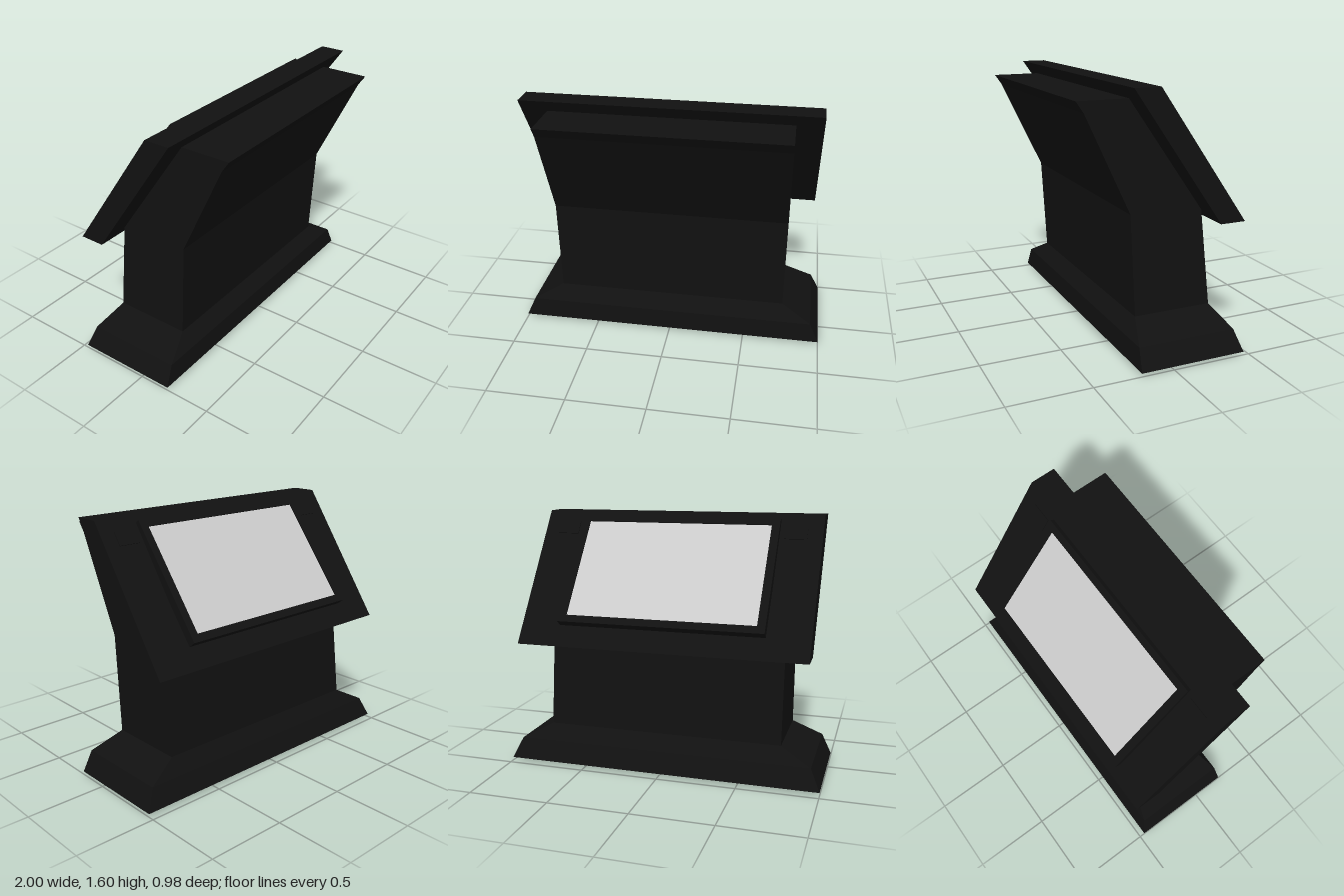
import * as THREE from 'three';
import { ConvexGeometry } from 'three/addons/geometries/ConvexGeometry.js';

const dark = new THREE.MeshStandardMaterial({ color: 0x111111, flatShading: true });
const grey = new THREE.MeshStandardMaterial({ color: 0xcccccc });

function part(name, geometry, parent, material = dark) {
  const mesh = new THREE.Mesh(geometry, material);
  mesh.name = name;
  parent.add(mesh);
  return mesh;
}

// Extrudes a side profile of [z, y] points across the width, centred on x = 0
function sideProfile(points, width) {
  const shape = new THREE.Shape(points.map(([z, y]) => new THREE.Vector2(z, y)));
  return new THREE.ExtrudeGeometry(shape, { depth: width, bevelEnabled: false })
    .translate(0, 0, -width / 2)
    .rotateY(-Math.PI / 2);
}

// Group lying on a sloped rear face: local y runs up the slope, local z points outward
function slopedGroup(name, top, bottom, parent) {
  const up = new THREE.Vector3(0, top[1] - bottom[1], top[0] - bottom[0]).normalize();
  const right = new THREE.Vector3(-1, 0, 0);
  const out = new THREE.Vector3().crossVectors(right, up);
  const group = new THREE.Group();
  group.name = name;
  group.quaternion.setFromRotationMatrix(new THREE.Matrix4().makeBasis(right, up, out));
  group.position.set(0, (top[1] + bottom[1]) / 2, (top[0] + bottom[0]) / 2);
  parent.add(group);
  return group;
}

function rectangle(target, halfW, halfH) {
  return target.moveTo(-halfW, -halfH).lineTo(halfW, -halfH)
    .lineTo(halfW, halfH).lineTo(-halfW, halfH).closePath();
}

export function createModel() {
  const model = new THREE.Group();
  model.name = 'kiosk';

  // Flared plinth: rectangular rings of [y, half width, front z, back z]
  const corners = [];
  for (const [y, w, front, back] of [
    [0, 0.75, 0.12, -0.38],
    [0.02, 1, 0.205, -0.465],
    [0.15, 0.94, 0.195, -0.425],
    [0.25, 0.75, 0.13, -0.365],
  ]) {
    for (const x of [-w, w]) {
      for (const z of [front, back]) corners.push(new THREE.Vector3(x, y, z));
    }
  }
  part('base', new ConvexGeometry(corners), model);

  // Pedestal that leans forward into an overhanging hood
  part('pedestal', sideProfile([
    [-0.365, 0.25], [0.13, 0.25], [0.165, 0.87], [0.445, 1.46],
    [0.49, 1.525], [0.18, 1.525], [-0.295, 0.85],
  ], 1.5), model);

  // Wide sloped console panel with level top and bottom edges
  part('consolePanel', sideProfile([
    [-0.49, 0.8], [-0.33, 0.8], [0.23, 1.6], [0.07, 1.6],
  ], 1.83), model);

  // Small plates on the panel beside the monitor's upper corners
  const plates = slopedGroup('panelPlates', [0.07, 1.6], [-0.49, 0.8], model);
  for (const side of [-1, 1]) {
    part('cornerPlate', new THREE.BoxGeometry(0.14, 0.09, 0.01), plates)
      .position.set(side * 0.75, 0.36, 0);
  }

  // Monitor, tilted slightly away from the panel
  const monitor = slopedGroup('monitor', [0.02, 1.58], [-0.465, 0.955], model);
  const frame = rectangle(new THREE.Shape(), 0.65, 0.395);
  frame.holes.push(rectangle(new THREE.Path(), 0.6, 0.347));
  part('bezel', new THREE.ExtrudeGeometry(frame, { depth: 0.054, bevelEnabled: false }), monitor)
    .position.z = -0.054;
  part('monitorBack', new THREE.BoxGeometry(1.21, 0.7, 0.038), monitor).position.z = -0.03;
  part('screen', new THREE.PlaneGeometry(1.2, 0.694), monitor, grey).position.z = -0.006;

  return model;
}
